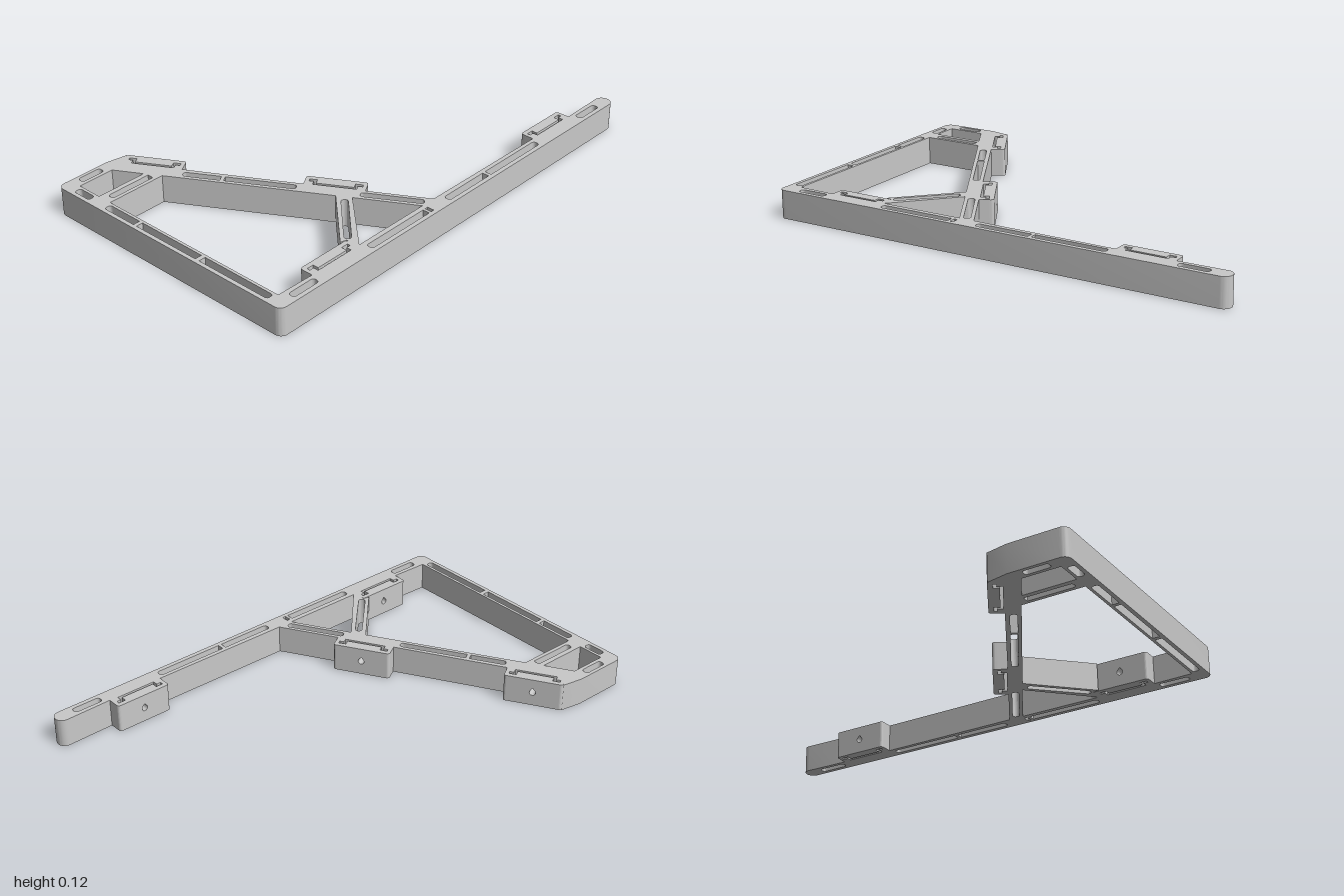
import * as THREE from 'three';
import { toCreasedNormals } from 'three/addons/utils/BufferGeometryUtils.js';

const HEIGHT = 0.12;
const PAD_HALF = 0.1225, FACE_HALF = 0.1105, FACE = 0.02, PLUG_HALF = 0.075, PLUG_DEPTH = 0.025;

// Mounting pads: centre of the outer face and the direction it faces
const pads = {
  upper: { x: -0.603, z: -0.474, turn: Math.PI * 2 / 3 },
  middle: { x: -0.24, z: 0.162, turn: Math.PI * 2 / 3 },
  inner: { x: -0.653, z: 0.472, turn: Math.PI },
  outer: { x: 0.643, z: 0.472, turn: Math.PI },
};

// Closed outline from [x, z, cornerRadius] points, laid out for extrusion upward
function outline(points, Type = THREE.Path) {
  const path = new Type();
  const n = points.length;
  points.forEach(([x, z, r = 0], i) => {
    const p = new THREE.Vector2(x, -z);
    const toward = ([qx, qz]) => new THREE.Vector2(qx, -qz).sub(p).setLength(r).add(p);
    const a = r ? toward(points[(i + n - 1) % n]) : p;
    if (i === 0) path.moveTo(a.x, a.y); else path.lineTo(a.x, a.y);
    if (r) {
      const b = toward(points[(i + 1) % n]);
      const k = 0.552;
      const c1 = a.clone().lerp(p, k), c2 = b.clone().lerp(p, k);
      path.bezierCurveTo(c1.x, c1.y, c2.x, c2.y, b.x, b.y);
    }
  });
  path.closePath();
  return path;
}

// Pocket edge behind a pad; u runs along the pad, d inward from its face
function pocket({ x, z, turn }, withStart = true, withEnd = true) {
  const s = Math.sin(turn), c = Math.cos(turn);
  const half = [[PAD_HALF, 0.06], [PAD_HALF, FACE], [0.106, FACE], [0.106, 0.034], [0.087, 0.034], [0.087, 0.056]];
  const left = half.map(([u, d]) => [-u, d]);
  const right = half.slice().reverse();
  if (!withStart) left.shift();
  if (!withEnd) right.pop();
  return [...left, ...right].map(([u, d]) => [x - c * u - s * d, z + s * u - c * d]);
}

// Long lightening slot between two points, with a corner radius at each end
function slot(ax, az, bx, bz, width, ra = 0, rb = 0) {
  const len = Math.hypot(bx - ax, bz - az);
  const nx = -(bz - az) / len * width / 2, nz = (bx - ax) / len * width / 2;
  return outline([[ax + nx, az + nz, ra], [bx + nx, bz + nz, rb], [bx - nx, bz - nz, rb], [ax - nx, az - nz, ra]]);
}

function extrude(shape, depth) {
  const geo = new THREE.ExtrudeGeometry(shape, { depth, bevelEnabled: false, curveSegments: 8 });
  return toCreasedNormals(geo, 0.3);
}

const extrudeUp = shape => extrude(shape, HEIGHT).rotateX(-Math.PI / 2);

function frameShape() {
  // Counter-clockwise outer edge, so that the hole walls face inward
  const shape = outline([
    [-1, -0.597, 0.03], [-0.757, -0.597], [-0.666, -0.58],
    ...pocket(pads.upper, false), ...pocket(pads.middle),
    [-0.099, 0.527], ...pocket(pads.outer),
    [1, 0.527, 0.034], [1, 0.597, 0.034], [-1, 0.597, 0.03],
  ].reverse(), THREE.Shape);

  // Large openings between the members
  shape.holes.push(
    outline([[-0.941, -0.537], [-0.781, -0.537], [-0.717, -0.425], [-0.941, -0.425]]),
    outline([[-0.941, -0.36], [-0.678, -0.36], [-0.333, 0.237], [-0.556, 0.465],
      [-0.5305, 0.472], ...pocket(pads.inner, true, false).reverse(), [-0.941, 0.527]]),
    outline([[-0.521, 0.527], [-0.3, 0.293], [-0.166, 0.527]]),
  );

  // Slots along the front bar, left column, two cross arms, diagonal and brace
  const r = 0.012;
  for (const [a, b, ra, rb] of [[-0.914, -0.787, r, r], [-0.507, -0.187, r, 0], [-0.175, -0.16, 0, 0],
    [-0.064, 0.173, r, 0], [0.188, 0.503, 0, r], [0.788, 0.915, r, r]])
    shape.holes.push(slot(a, 0.563, b, 0.563, 0.03, ra, rb));
  for (const [a, b, ra, rb] of [[-0.52, -0.435, r, r], [-0.345, -0.18, r, 0], [-0.163, 0.153, 0, 0], [0.173, 0.515, 0, r]])
    shape.holes.push(slot(-0.968, a, -0.968, b, 0.03, ra, rb));
  shape.holes.push(slot(-0.914, -0.567, -0.807, -0.567, 0.03, r, r));
  shape.holes.push(slot(-0.914, -0.39, -0.712, -0.39, 0.028, r, 0));
  const diagonalX = z => -0.132 + (z - 0.527) * 0.5774;
  for (const [a, b, ra, rb] of [[-0.31, -0.178, r, 0], [-0.165, 0.083, 0, r], [0.3, 0.515, r, r]])
    shape.holes.push(slot(diagonalX(a), a, diagonalX(b), b, 0.028, ra, rb));
  shape.holes.push(slot(-0.52, 0.47, -0.331, 0.281, 0.028, r, r));
  return shape;
}

// Upright plate with a teardrop bolt hole
function plateGeometry(half, depth) {
  const shape = new THREE.Shape();
  shape.moveTo(-half, 0).lineTo(half, 0).lineTo(half, HEIGHT).lineTo(-half, HEIGHT).closePath();
  const hole = new THREE.Path();
  hole.absarc(0, HEIGHT / 2, 0.013, Math.PI * 0.8, Math.PI * 2.2, false);
  hole.lineTo(0, HEIGHT / 2 + 0.02);
  hole.closePath();
  shape.holes.push(hole);
  return extrude(shape, depth);
}

// Rounded end of a pad face
function endGeometry(side) {
  return extrudeUp(outline([
    [side * FACE_HALF, 0], [side * PAD_HALF, 0, 0.0115], [side * PAD_HALF, -FACE], [side * FACE_HALF, -FACE],
  ], THREE.Shape));
}

export function createModel() {
  const model = new THREE.Group();
  model.name = 'bracketFrame';
  const grey = new THREE.MeshStandardMaterial({ color: 0xc8c8c8 });
  grey.name = 'grey';

  const frame = new THREE.Mesh(extrudeUp(frameShape()), grey);
  frame.name = 'frame';
  model.add(frame);

  // Pad face with rounded ends, and the plug that sits in the pocket behind it
  const padParts = {
    padFace: plateGeometry(FACE_HALF, FACE).translate(0, 0, -FACE),
    padPlug: plateGeometry(PLUG_HALF, PLUG_DEPTH).translate(0, 0, -FACE - PLUG_DEPTH),
    padLeftEnd: endGeometry(1),
    padRightEnd: endGeometry(-1),
  };
  for (const [name, { x, z, turn }] of Object.entries(pads)) {
    const pad = new THREE.Group();
    pad.name = name + 'Pad';
    for (const [part, geometry] of Object.entries(padParts)) {
      const mesh = new THREE.Mesh(geometry, grey);
      mesh.name = part;
      pad.add(mesh);
    }
    pad.position.set(x, 0, z);
    pad.rotation.y = turn;
    model.add(pad);
  }
  return model;
}
